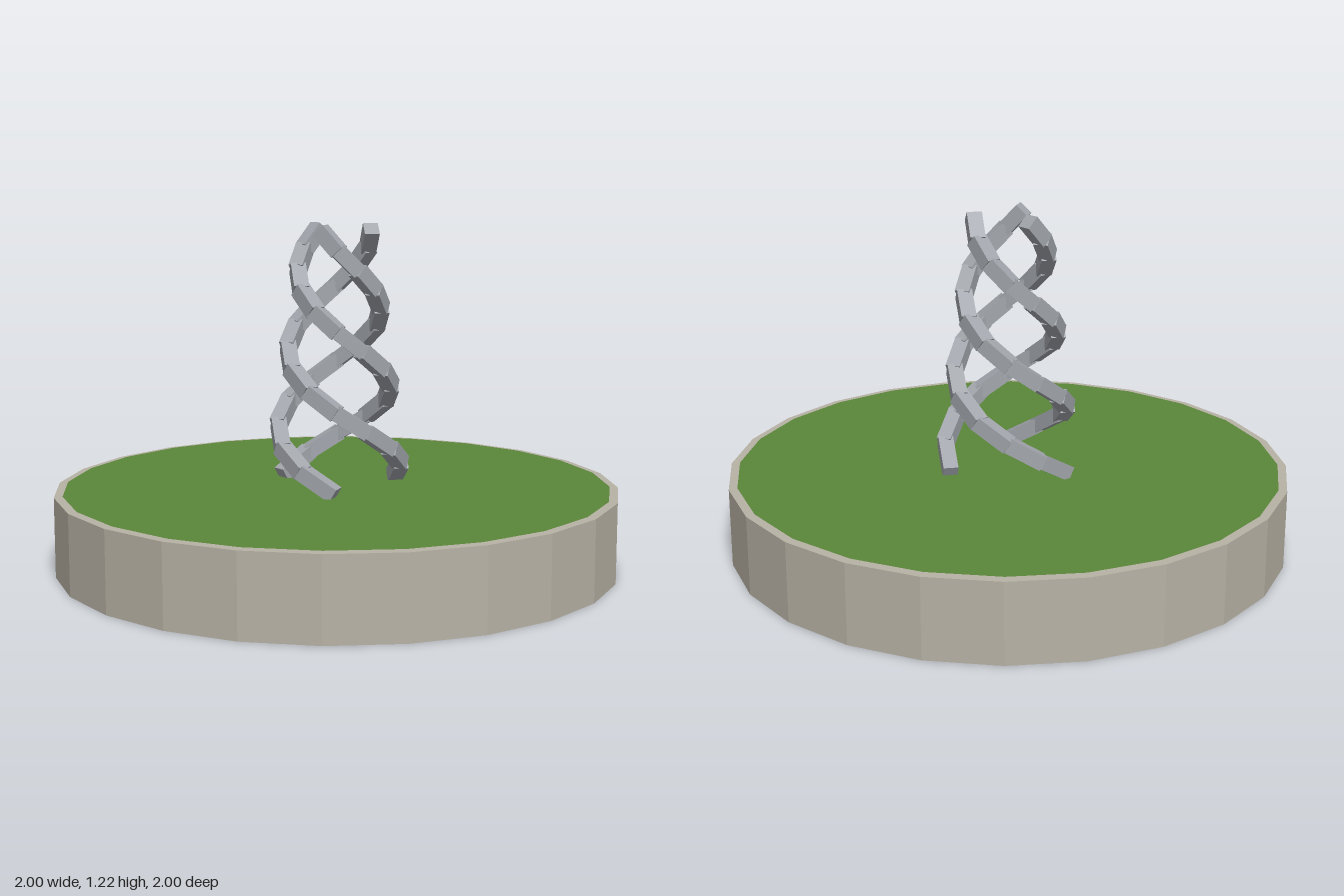
import * as THREE from 'three';

const material = (color, side = THREE.FrontSide) =>
  new THREE.MeshStandardMaterial({ color, side, flatShading: true });

function addMesh(parent, name, geometry, mat) {
  const mesh = new THREE.Mesh(geometry, mat);
  mesh.name = name;
  parent.add(mesh);
  return mesh;
}

// Point on a strand: t runs 0..1 from the ground to the tip of the tapering helix
function helixPoint(startAngle, t) {
  const angle = startAngle + t * THREE.MathUtils.degToRad(385);
  const radius = THREE.MathUtils.lerp(0.235, 0.12, t);
  return new THREE.Vector3(
    Math.cos(angle) * radius,
    THREE.MathUtils.lerp(0.3, 1.195, t),
    Math.sin(angle) * radius
  );
}

export function createModel() {
  const model = new THREE.Group();
  const stone = material(0xb8b2a5, THREE.DoubleSide);
  const grassGreen = material(0x5a863a);
  const metal = material(0xa2a6ac);
  const sides = 24;
  const height = 0.283;

  // Round plinth: hollow wall, closed only on top
  const wall = new THREE.CylinderGeometry(1, 1, height, sides, 1, true);
  addMesh(model, 'plinthWall', wall.translate(0, height / 2, 0), stone);
  const disc = (r, y) =>
    new THREE.CircleGeometry(r, sides).rotateX(-Math.PI / 2).translate(0, y, 0);
  addMesh(model, 'plinthTop', disc(1, height), stone);
  addMesh(model, 'grass', disc(0.97, height + 0.003), grassGreen);

  // Three intertwined strands of straight square bars
  const segments = 13;
  for (let s = 0; s < 3; s++) {
    const strand = new THREE.Group();
    strand.name = `strand${s + 1}`;
    const start = (s * Math.PI * 2) / 3;
    for (let i = 0; i < segments; i++) {
      const a = helixPoint(start, i / segments);
      const b = helixPoint(start, (i + 1) / segments);
      const bar = new THREE.BoxGeometry(0.053, 0.053, a.distanceTo(b) * 1.08);
      const mesh = addMesh(strand, 'strandBar', bar, metal);
      mesh.position.lerpVectors(a, b, 0.5);
      mesh.lookAt(b);
    }
    model.add(strand);
  }
  return model;
}
